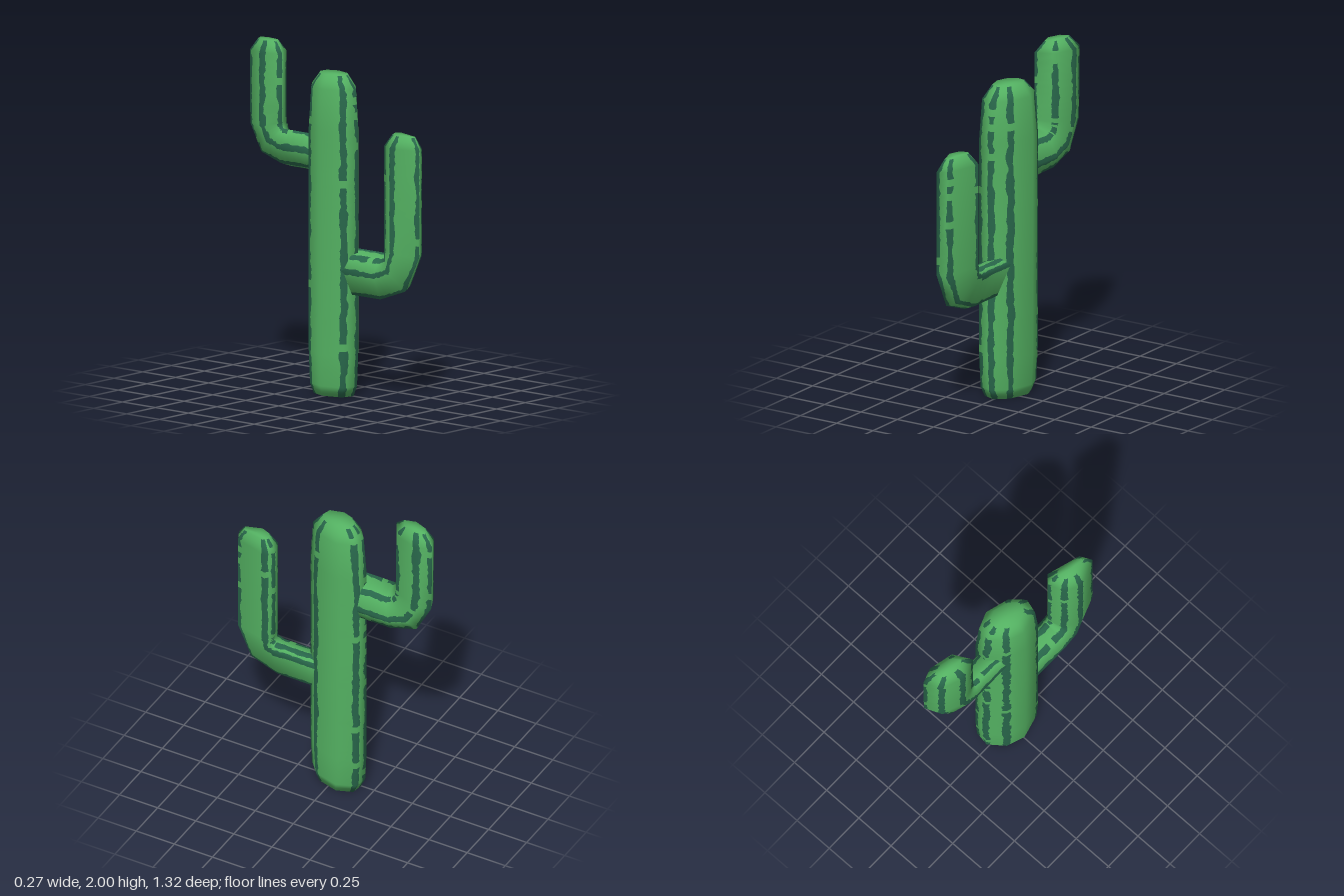
import * as THREE from 'three';

const skin = new THREE.MeshStandardMaterial({ color: 0x53b061 });
skin.name = 'cactus green';
const stripe = new THREE.MeshStandardMaterial({ color: 0x28664a });
stripe.name = 'dark stripe green';

// Repeatable noise from 0 to 1
const noise = (a, b) => {
  const s = Math.sin(a * 127.1 + b * 311.7) * 43758.5453;
  return s - Math.floor(s);
};

// Smooth normals of the coarse low-poly surface, one per ring corner
function coarseNormals(rings) {
  const n = rings[0].length;
  const geo = new THREE.BufferGeometry().setFromPoints(rings.flat());
  const index = [];
  for (let r = 0; r < rings.length - 1; r++) {
    for (let k = 0; k < n; k++) {
      const a = r * n + k, b = r * n + (k + 1) % n;
      index.push(a, b, b + n, a, b + n, a + n);
    }
  }
  geo.setIndex(index);
  geo.computeVertexNormals();
  const attr = geo.attributes.normal;
  return rings.map((ring, r) => ring.map((_, k) => new THREE.Vector3().fromBufferAttribute(attr, r * n + k)));
}

// Skin over rings of corners, with a ragged stripe along the chosen corners.
// Stripes run from ring "first" to ring "last"; halfWidth is in model units.
function stripedLoft(name, rings, { striped, first, last, halfWidth, seed }) {
  const n = rings[0].length;
  const normals = coarseNormals(rings);
  const mid = rings[first + 1];
  const side = mid.map((p, k) => p.distanceTo(mid[(k + 1) % n]));
  const pos = [], nor = [], light = [], dark = [];
  const cols = n * 3;
  let row = 0;

  const sample = (grid, r, f, k, s) => {
    const j = (k + 1) % n;
    const low = grid[r][k].clone().lerp(grid[r][j], s);
    const high = grid[r + 1][k].clone().lerp(grid[r + 1][j], s);
    return low.lerp(high, f);
  };
  const edge = (corner, dir) => {
    const slow = noise(Math.floor(row / 4) + seed, corner * 2 + dir);
    const fast = noise(row + seed, corner * 5 + dir + 9);
    return halfWidth * (0.45 + 0.5 * slow + 0.45 * fast);
  };

  for (let r = 0; r < rings.length - 1; r++) {
    const length = Math.max(...rings[r].map((p, k) => p.distanceTo(rings[r + 1][k])));
    const steps = Math.max(1, Math.ceil(length / 0.022));
    const isLast = r === rings.length - 2;
    for (let i = 0; i < steps + (isLast ? 1 : 0); i++, row++) {
      for (let k = 0; k < n; k++) {
        const after = Math.min(0.4, edge(k, 0) / side[k]);
        const before = 1 - Math.min(0.4, edge((k + 1) % n, 1) / side[k]);
        for (const s of [0, after, before]) {
          pos.push(...sample(rings, r, i / steps, k, s).toArray());
          nor.push(...sample(normals, r, i / steps, k, s).normalize().toArray());
        }
      }
      if (i === steps) continue;
      for (let c = 0; c < cols; c++) {
        const part = c % 3;
        const corner = part === 2 ? (Math.floor(c / 3) + 1) % n : Math.floor(c / 3);
        const broken = noise(Math.floor(row / 2) + seed, corner + 40) < 0.07;
        const painted = part !== 1 && striped.includes(corner) && r >= first && r < last && !broken;
        const a = row * cols + c, b = row * cols + (c + 1) % cols;
        (painted ? dark : light).push(a, b, b + cols, a, b + cols, a + cols);
      }
    }
  }
  const geo = new THREE.BufferGeometry();
  geo.setAttribute('position', new THREE.Float32BufferAttribute(pos, 3));
  geo.setAttribute('normal', new THREE.Float32BufferAttribute(nor, 3));
  geo.setIndex([...light, ...dark]);
  geo.addGroup(0, light.length, 0);
  geo.addGroup(light.length, dark.length, 1);
  const mesh = new THREE.Mesh(geo, [skin, stripe]);
  mesh.name = name;
  return mesh;
}

// Trunk: one skewed octagon scaled up the height
function makeTrunk() {
  const section = [[0, -0.2], [-0.095, -0.125], [-0.135, -0.01], [-0.095, 0.14],
    [0, 0.168], [0.09, 0.09], [0.135, -0.07], [0.09, -0.187]];
  const profile = [[0, 0.001], [0, 0.8], [0.06, 0.95], [0.25, 1], [1.55, 1], [1.79, 0.9], [1.865, 0.56], [1.866, 0.001]];
  const rings = profile.map(([y, s]) =>
    section.map(([x, z]) => new THREE.Vector3(x * s, y, -0.015 + (z + 0.015) * s)));
  return stripedLoft('trunk', rings, { striped: [0, 1, 3, 4, 5, 7], first: 1, last: 6, halfWidth: 0.024, seed: 3 });
}

// Arm: a hexagon of [x, share from inner to outer edge] swept along the elbow.
// Each station is [inner y, inner z, outer y, outer z, x scale].
function makeArm(name, section, stations, seed) {
  const rings = stations.map(([iy, iz, oy, oz, sx = 1]) =>
    section.map(([x, t]) => new THREE.Vector3(x * sx, iy + (oy - iy) * t, iz + (oz - iz) * t)));
  return stripedLoft(name, rings, { striped: [0, 1, 2, 3, 4, 5], first: 0, last: 5, halfWidth: 0.021, seed });
}

export function createModel() {
  const model = new THREE.Group();
  model.name = 'cactus';
  model.add(makeTrunk());

  model.add(makeArm('frontArm',
    [[0.045, 0], [-0.05, 0.11], [-0.1, 0.44], [-0.04, 1], [0.03, 0.88], [0.09, 0.15]],
    [[0.855, 0.08, 0.6, 0.08], [0.855, 0.365, 0.6, 0.37], [0.865, 0.39, 0.67, 0.56],
      [0.9, 0.378, 0.88, 0.66], [1.505, 0.378, 1.5, 0.66],
      [1.572, 0.43, 1.568, 0.61, 0.5], [1.572, 0.519, 1.572, 0.521, 0.001]], 17));

  model.add(makeArm('backArm',
    [[0.06, 1], [-0.04, 0.86], [-0.095, 0.41], [-0.055, 0], [0.055, 0.2], [0.09, 0.7]],
    [[1.505, -0.1, 1.265, -0.1], [1.505, -0.35, 1.265, -0.39], [1.51, -0.362, 1.32, -0.56],
      [1.535, -0.367, 1.5, -0.657], [1.94, -0.367, 1.93, -0.66],
      [2, -0.43, 1.998, -0.6, 0.5], [2, -0.514, 2, -0.516, 0.001]], 31));

  return model;
}
